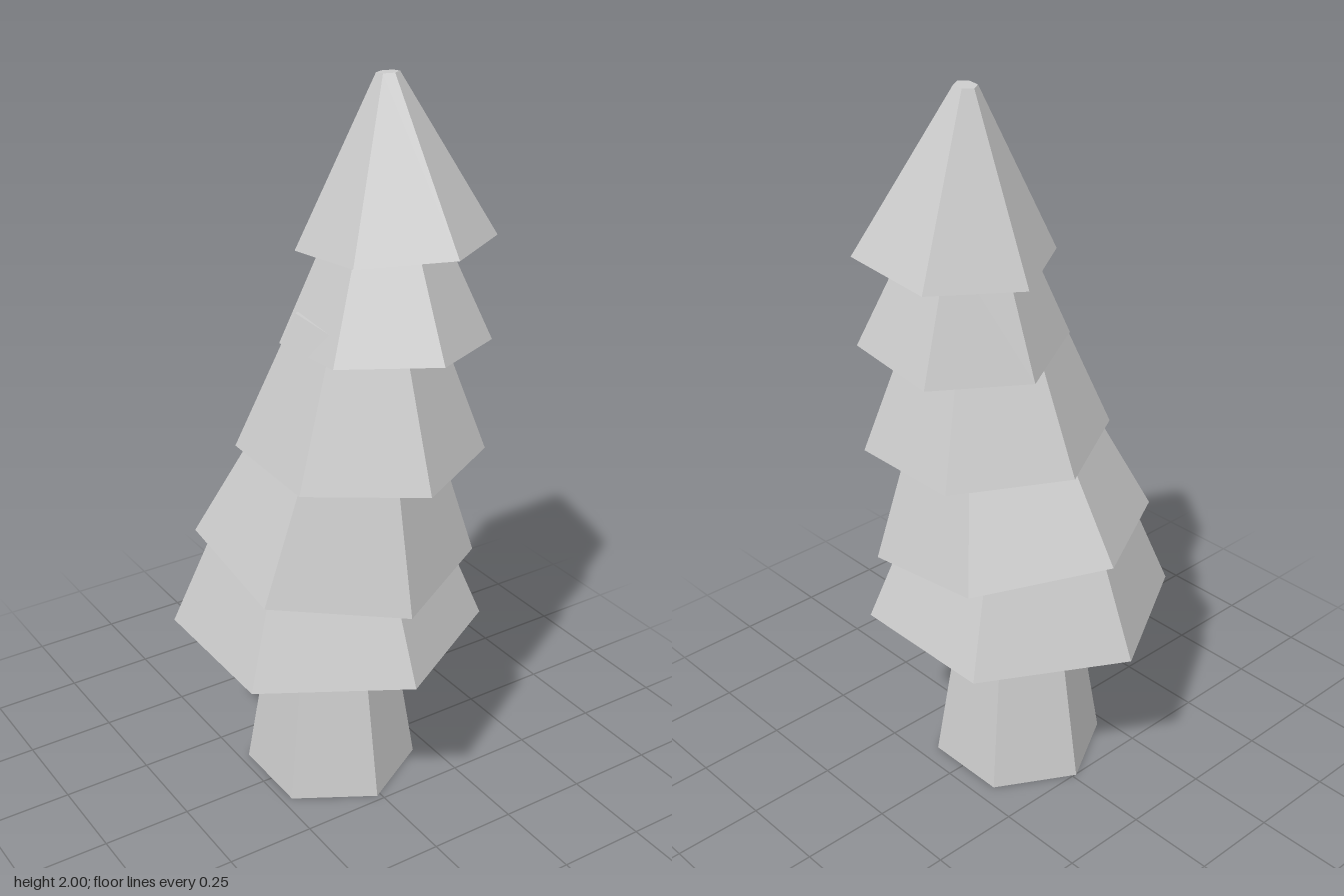
import * as THREE from 'three';

const material = new THREE.MeshStandardMaterial({ color: 0xcccccc, flatShading: true });

// Six-sided solid turned from a profile of [radius, height] points, with a corner facing +z
function hexTurned(name, profile) {
  const points = profile.map(([r, y]) => new THREE.Vector2(r, y));
  const mesh = new THREE.Mesh(new THREE.LatheGeometry(points, 6), material);
  mesh.name = name;
  return mesh;
}

// Branch tiers: rim centre, rim radius, top radius, height,
// rim slope along x and z, and a small turn about the axis
const tiers = [
  { at: [-0.03, 0.487, 0], rim: 0.43, top: 0.28, height: 0.36, slope: [0, 0], turn: 0 },
  { at: [-0.002, 0.722, -0.006], rim: 0.385, top: 0.23, height: 0.37, slope: [-0.03, -0.145], turn: -0.018 },
  { at: [0.047, 1.015, 0.045], rim: 0.334, top: 0.18, height: 0.38, slope: [-0.02, -0.015], turn: -0.02 },
  { at: [0.11, 1.312, 0.064], rim: 0.277, top: 0.13, height: 0.33, slope: [-0.04, 0.097], turn: -0.04 },
  { at: [0.153, 1.567, 0.044], rim: 0.261, top: 0.03, height: 0.431, slope: [0.01, 0.1], turn: 0.025 },
];

export function createModel() {
  const model = new THREE.Group();
  model.name = 'lowPolyPineTree';

  // Tapered trunk reaching up into the lowest tier
  const trunk = hexTurned('trunk', [[0, 0], [0.243, 0], [0.143, 0.62], [0, 0.62]]);
  trunk.position.set(-0.012, 0, -0.01);
  model.add(trunk);

  // Tilted tiers, each with a flat rim and a shallow hollow underneath
  tiers.forEach(({ at, rim, top, height, slope, turn }, i) => {
    const inner = rim * 0.72;
    const depth = rim * 0.28;
    const tier = hexTurned(`branchTier${i + 1}`, [
      [0, depth], [inner * 0.86, depth], [inner, 0], [rim, 0], [top, height], [0, height],
    ]);
    tier.position.set(...at);
    tier.rotation.set(-Math.atan(slope[1]), turn, Math.atan(slope[0]));
    model.add(tier);
  });

  return model;
}
